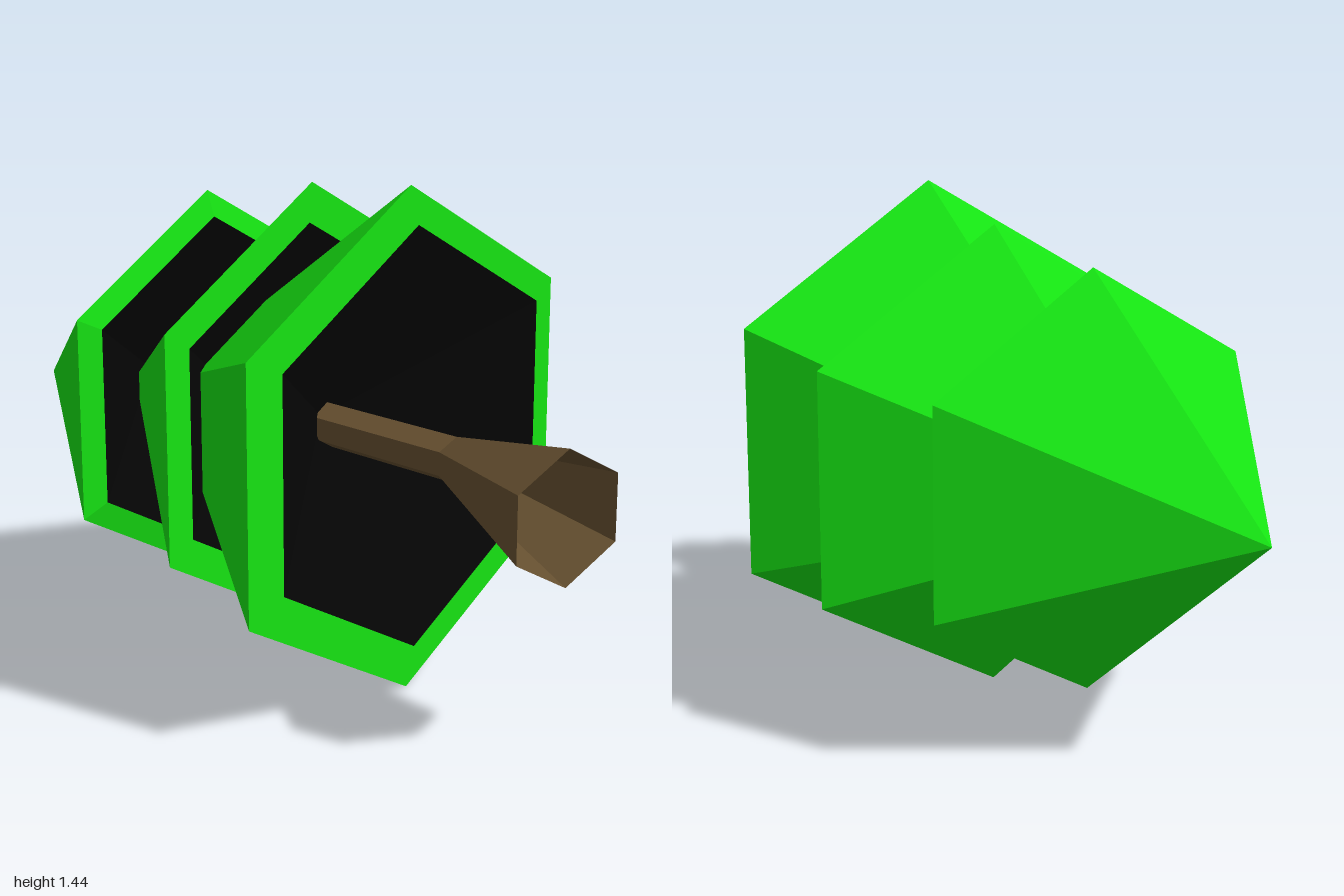
import * as THREE from 'three';

const material = (color, side = THREE.FrontSide) =>
  new THREE.MeshStandardMaterial({ color, flatShading: true, side });

// Hexagon around a centre, turned about the vertical by tilt
function hexagon(center, radius, tilt = 0) {
  return Array.from({ length: 6 }, (_, i) => {
    const a = Math.PI / 6 + (i * Math.PI) / 3;
    const u = radius * Math.cos(a);
    return [
      center[0] + u * Math.cos(tilt),
      center[1] + radius * Math.sin(a),
      center[2] - u * Math.sin(tilt),
    ];
  });
}

// Move a point sideways in the tilted plane and along the tilted axis
const offset = ([x, y, z], side, forward, tilt) => [
  x + side * Math.cos(tilt) + forward * Math.sin(tilt),
  y,
  z - side * Math.sin(tilt) + forward * Math.cos(tilt),
];

const point = (p) => Array(6).fill(p);

// Flat-shaded skin through a list of six-point rings
function loft(name, rings, mat) {
  const positions = [];
  const triangle = (a, b, c) => {
    if (a !== b && b !== c && a !== c) positions.push(...a, ...b, ...c);
  };
  for (let r = 0; r < rings.length - 1; r++) {
    for (let i = 0; i < 6; i++) {
      const j = (i + 1) % 6;
      const [a, b] = [rings[r], rings[r + 1]];
      triangle(a[i], b[i], a[j]);
      triangle(a[j], b[i], b[j]);
    }
  }
  const geometry = new THREE.BufferGeometry();
  geometry.setAttribute('position', new THREE.Float32BufferAttribute(positions, 3));
  geometry.computeVertexNormals();
  const mesh = new THREE.Mesh(geometry, mat);
  mesh.name = name;
  return mesh;
}

export function createModel() {
  const tree = new THREE.Group();
  tree.name = 'fallenPineTree';
  const green = material(0x16e313);
  const dark = material(0x050505, THREE.DoubleSide);
  const brown = material(0x665030, THREE.DoubleSide);
  const tilt = 0.239;

  // Hollow foliage cones, from the trunk to the tip
  const tiers = [
    {
      name: 'lowerFoliage', center: [0.025, 0.72, 0.335], radius: 0.72, tip: [-0.185, 0.7, -0.65],
      innerRadius: 0.607, side: 0.033, forward: 0,
    },
    {
      name: 'middleFoliage', center: [-0.002, 0.718, -0.105], radius: 0.663, tip: [-0.245, 0.7, -0.73],
      innerRadius: 0.548, side: -0.01, forward: 0,
    },
    {
      name: 'upperFoliage', center: [-0.137, 0.725, -0.457], radius: 0.59, tip: [-0.39, 0.68, -1],
      innerRadius: 0.513, side: 0.008, forward: 0.018,
    },
  ];
  for (const { name, center, radius, tip, innerRadius, side, forward } of tiers) {
    const innerCenter = offset(center, side, forward, tilt);
    const hollow = offset(innerCenter, 0, -0.5 * radius, tilt);
    const outer = hexagon(center, radius, tilt);
    const inner = hexagon(innerCenter, innerRadius, tilt);
    const tier = new THREE.Group();
    tier.name = name;
    tier.add(
      loft('needles', [inner, outer, point(tip)], green),
      loft('hollowUnderside', [point(hollow), inner], dark),
    );
    tree.add(tier);
  }

  // Open, bent trunk flaring toward its foot
  tree.add(loft('trunk', [
    hexagon([0.04, 0.7, 1], 0.185),
    hexagon([0.088, 0.7, 0.47], 0.067),
    hexagon([-0.05, 0.705, -0.08], 0.064),
  ], brown));

  return tree;
}
